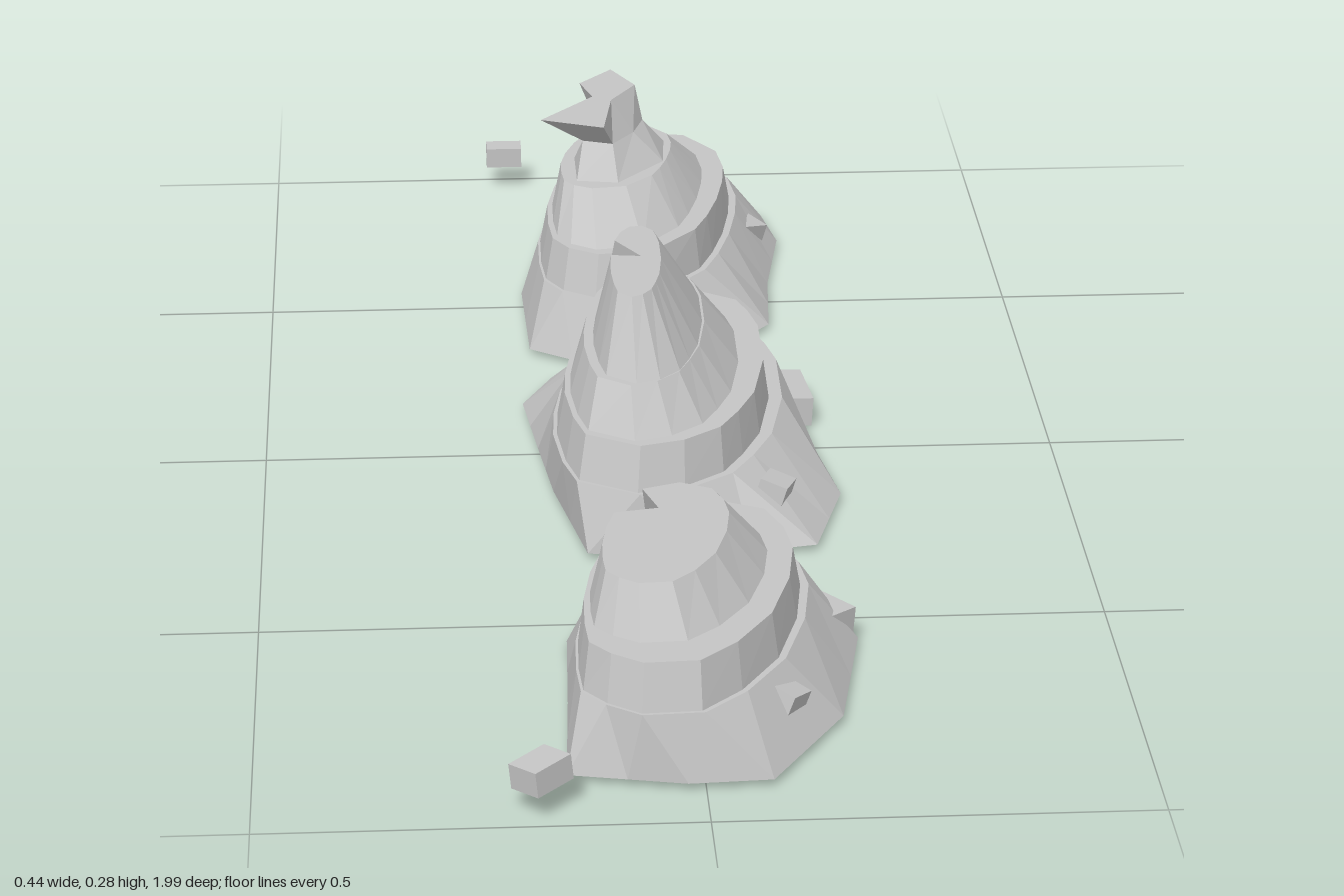
import * as THREE from 'three';

const stone = new THREE.MeshStandardMaterial({ color: 0xc4c4c4, flatShading: true, side: THREE.DoubleSide });
stone.name = 'grey stone';

// Stretch a loop of [x, z] points to fill the box [x0, x1, z0, z1].
function fit(loop, [x0, x1, z0, z1]) {
  const xs = loop.map(p => p[0]), zs = loop.map(p => p[1]);
  const map = (v, list, lo, hi) => {
    const a = Math.min(...list), b = Math.max(...list);
    return lo + (hi - lo) * (v - a) / (b - a);
  };
  return loop.map(([x, z]) => [map(x, xs, x0, x1), map(z, zs, z0, z1)]);
}

// Add a midpoint on every long edge of a loop.
function refine(loop) {
  return loop.flatMap((p, i) => {
    const q = loop[(i + 1) % loop.length];
    const long = Math.hypot(q[0] - p[0], q[1] - p[1]) > 0.125;
    return long ? [p, [(p[0] + q[0]) / 2, (p[1] + q[1]) / 2]] : [p];
  });
}

// Rounder, slightly slanted copy of the foot outline for the upper terraces.
function terraceLoop(outline, box) {
  const loop = fit(outline, [-1, 1, -1, 1]).map(([x, z]) => {
    const r = Math.hypot(x, z), k = 1 + 0.75 * (1 / r - 1);
    return [x * k - 0.3 * z * k, z * k];
  });
  return fit(loop, box);
}

// Pull the loop point nearest to [x, z] inwards to make a notch.
function notch(loop, [x, z, toX, toZ]) {
  const far = p => Math.hypot(p[0] - x, p[1] - z);
  const nearest = loop.reduce((a, b) => (far(b) < far(a) ? b : a));
  return loop.map(p => (p === nearest ? [toX, toZ] : p));
}

// Faceted layer between two loops; the lower cap is optional.
function layer(name, low, high, y0, y1, closedBelow) {
  const pos = [], n = low.length;
  const lo = i => [low[i % n][0], y0, low[i % n][1]];
  const hi = i => [high[i % n][0], y1, high[i % n][1]];
  for (let i = 0; i < n; i++) {
    pos.push(...lo(i), ...hi(i), ...lo(i + 1), ...lo(i + 1), ...hi(i), ...hi(i + 1));
  }
  const cap = (loop, at, up) => {
    const faces = THREE.ShapeUtils.triangulateShape(loop.map(p => new THREE.Vector2(...p)), []);
    for (let [a, b, c] of faces) {
      const [p, q, r] = [loop[a], loop[b], loop[c]];
      const ny = (q[1] - p[1]) * (r[0] - p[0]) - (q[0] - p[0]) * (r[1] - p[1]);
      if ((ny > 0) !== up) [b, c] = [c, b];
      pos.push(...at(a), ...at(b), ...at(c));
    }
  };
  cap(high, hi, true);
  if (closedBelow) cap(low, lo, false);
  const g = new THREE.BufferGeometry();
  g.setAttribute('position', new THREE.Float32BufferAttribute(pos, 3));
  g.computeVertexNormals();
  const mesh = new THREE.Mesh(g, stone);
  mesh.name = name;
  return mesh;
}

const LEVELS = [0.01, 0.088, 0.142, 0.196, 0.282];

// Foot outlines, then boxes of each terrace: lower loop, upper loop, optional notch.
const MOUNDS = [
  {
    name: 'backMound',
    foot: [[-0.10, -0.885], [0.095, -0.885], [0.19, -0.81], [0.205, -0.71], [0.18, -0.55], [0.17, -0.40],
      [0.095, -0.305], [-0.02, -0.29], [-0.10, -0.29], [-0.155, -0.33], [-0.16, -0.53], [-0.13, -0.71]],
    slopeTop: [-0.138, 0.145, -0.85, -0.31],
    terraces: [
      [[-0.135, 0.135, -0.845, -0.316], [-0.125, 0.125, -0.80, -0.335]],
      [[-0.118, 0.095, -0.78, -0.352], [-0.105, 0.05, -0.69, -0.44]],
    ],
  },
  {
    name: 'middleMound',
    foot: [[-0.05, -0.25], [0.05, -0.235], [0.14, -0.215], [0.18, -0.09], [0.217, 0.16], [0.175, 0.31],
      [0.015, 0.34], [-0.105, 0.32], [-0.14, 0.135], [-0.155, 0], [-0.17, -0.145], [-0.13, -0.23]],
    slopeTop: [-0.14, 0.155, -0.23, 0.323],
    terraces: [
      [[-0.135, 0.138, -0.225, 0.318], [-0.125, 0.13, -0.20, 0.30]],
      [[-0.118, 0.098, -0.175, 0.285], [-0.10, 0.055, -0.145, 0.24]],
      [[-0.088, 0.052, -0.14, 0.235], [-0.065, 0, -0.075, 0.166], [-0.06, 0, -0.025, 0.03]],
    ],
  },
  {
    name: 'frontMound',
    foot: [[-0.085, 0.415], [0.03, 0.41], [0.14, 0.42], [0.18, 0.495], [0.20, 0.57], [0.165, 0.77],
      [0.075, 0.92], [-0.02, 0.925], [-0.153, 0.897], [-0.145, 0.72], [-0.14, 0.56]],
    slopeTop: [-0.138, 0.14, 0.43, 0.91],
    terraces: [
      [[-0.135, 0.13, 0.434, 0.906], [-0.128, 0.12, 0.46, 0.89]],
      [[-0.12, 0.09, 0.495, 0.84], [-0.105, 0.045, 0.53, 0.80], [-0.07, 0.56, -0.035, 0.60]],
    ],
  },
];

// Loose stones: name, position, size, turn about y, tilt about z.
const STONES = [
  ['frontLooseStone', [-0.183, 0.047, 0.957], [0.055, 0.03, 0.042], 0.75, 0.1],
  ['backLooseStone', [-0.172, 0.047, -0.983], [0.05, 0.028, 0.034], 0, 0],
  ['backSlopeStone', [0.147, 0.05, -0.655], [0.052, 0.034, 0.052], 0.75, -0.3],
  ['middleSlopeBlock', [0.157, 0.024, -0.115], [0.08, 0.038, 0.095], 0.1, -0.06],
  ['middleSlopeStone', [0.128, 0.06, 0.25], [0.035, 0.026, 0.045], -0.35, -0.3],
  ['frontSlopeBlock', [0.15, 0.028, 0.562], [0.065, 0.045, 0.065], 0.75, -0.08],
  ['frontSlopeStone', [0.096, 0.054, 0.81], [0.035, 0.03, 0.04], -0.6, -0.35],
];

// Jagged crown loops: foot, pinched waist and spiky top.
const CROWN = [
  [[-0.01, -0.675], [0.04, -0.62], [0.035, -0.54], [-0.03, -0.46], [-0.085, -0.47], [-0.085, -0.56], [-0.06, -0.65]],
  [[-0.02, -0.635], [0.01, -0.6], [-0.005, -0.55], [-0.035, -0.505], [-0.075, -0.52], [-0.06, -0.565], [-0.055, -0.61]],
  [[-0.03, -0.675], [0, -0.61], [-0.035, -0.55], [-0.05, -0.44], [-0.133, -0.475], [-0.06, -0.565], [-0.075, -0.62]],
];

export function createModel() {
  const model = new THREE.Group();
  model.name = 'rockMounds';

  for (const m of MOUNDS) {
    const group = new THREE.Group();
    group.name = m.name;
    const foot = refine(m.foot);
    // hollow sloping foot, then closed terraces stacked on it
    group.add(layer('foot', foot, terraceLoop(foot, m.slopeTop), LEVELS[0], LEVELS[1], false));
    m.terraces.forEach(([low, high, dent], i) => {
      const rim = terraceLoop(foot, high);
      group.add(layer('terrace' + (i + 1), terraceLoop(foot, low), dent ? notch(rim, dent) : rim,
        LEVELS[i + 1], LEVELS[i + 2], true));
    });
    model.add(group);
  }

  // broken crown on the back mound
  const crown = new THREE.Group();
  crown.name = 'brokenCrown';
  crown.add(layer('crownBase', CROWN[0], CROWN[1], LEVELS[3], 0.235, true));
  crown.add(layer('crownSpikes', CROWN[1], CROWN[2], 0.235, LEVELS[4], true));
  model.add(crown);

  for (const [name, p, s, turn, tilt] of STONES) {
    const mesh = new THREE.Mesh(new THREE.BoxGeometry(...s), stone);
    mesh.name = name;
    mesh.position.set(...p);
    mesh.rotation.set(0, turn, tilt, 'ZYX');
    model.add(mesh);
  }
  return model;
}
